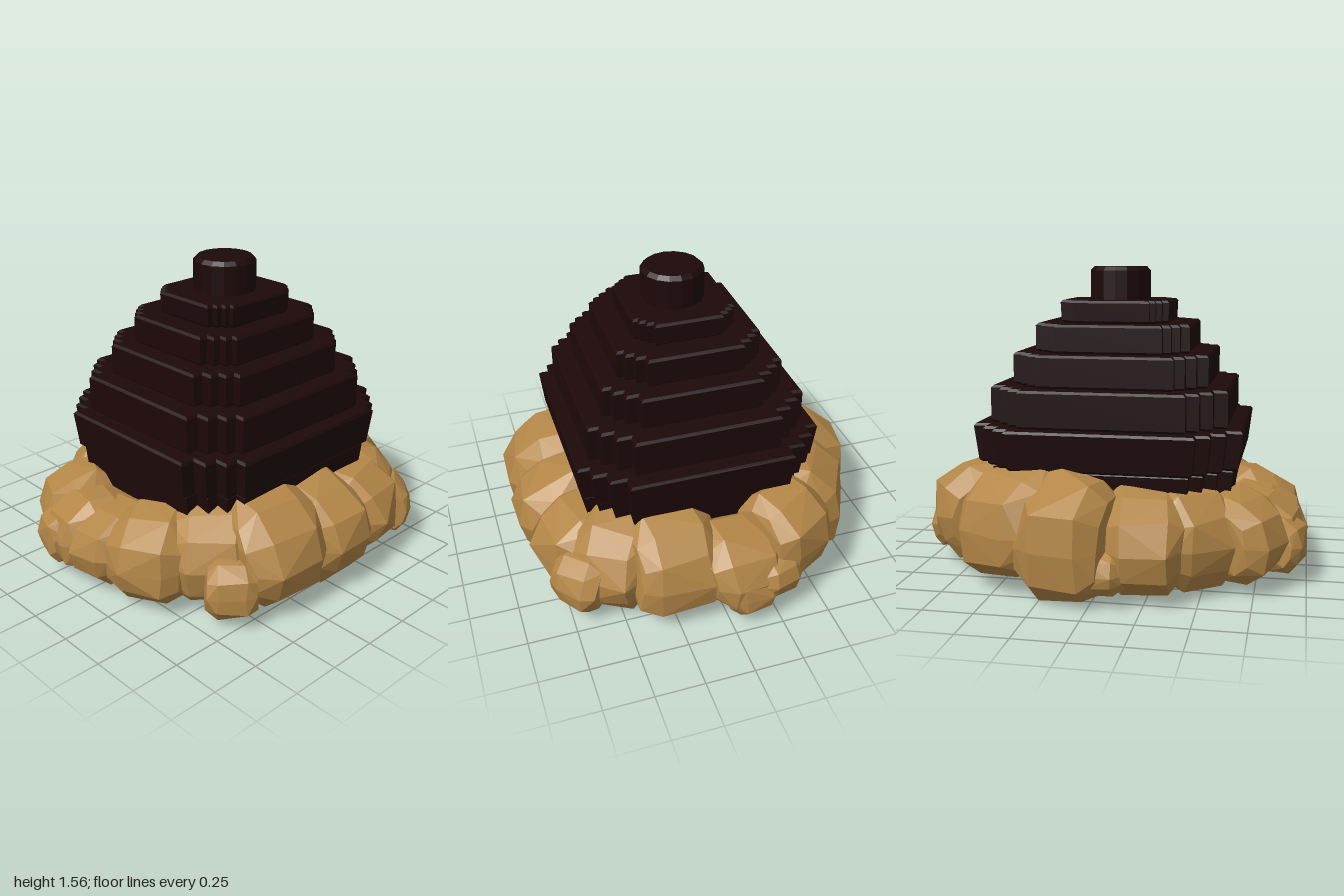
import * as THREE from 'three';
import { ConvexGeometry } from 'three/addons/geometries/ConvexGeometry.js';

// small seeded generator so the boulders are always the same
function seeded(seed) {
  let s = seed * 7919 + 17;
  return () => {
    s = (s * 1664525 + 1013904223) % 4294967296;
    return s / 4294967296;
  };
}

// square outline with three stair steps cut into every corner
function steppedSquare(hx, hz) {
  const corner = [[1, 0.67], [0.89, 0.67], [0.89, 0.8], [0.79, 0.8], [0.79, 0.91], [0.69, 0.91], [0.69, 1]];
  const back = [...corner].reverse();
  const points = [
    ...corner,
    ...back.map(([x, y]) => [-x, y]),
    ...corner.map(([x, y]) => [-x, -y]),
    ...back.map(([x, y]) => [x, -y]),
  ];
  return new THREE.Shape(points.map(([x, y]) => new THREE.Vector2(x * hx, y * hz)));
}

// one bevelled tier between two heights; taper is the width of its foot relative to its top
function tierGeometry(hx, hz, y0, y1, taper = 1) {
  const b = 0.012;
  const geo = new THREE.ExtrudeGeometry(steppedSquare(hx, hz), {
    depth: y1 - y0 - 2 * b,
    bevelEnabled: true,
    bevelThickness: b,
    bevelSize: b,
    bevelOffset: -b,
    bevelSegments: 1,
  });
  geo.rotateX(-Math.PI / 2).translate(0, y0 + b, 0);
  const p = geo.attributes.position;
  for (let i = 0; i < p.count; i++) {
    const k = THREE.MathUtils.lerp(taper, 1, (p.getY(i) - y0) / (y1 - y0));
    p.setX(i, p.getX(i) * k);
    p.setZ(i, p.getZ(i) * k);
  }
  geo.computeVertexNormals();
  return geo;
}

// rough boulder: hull of a sloped profile (depth, height) repeated across its width
const boulderProfile = [[-1.1, -0.35], [-1.05, 0.6], [-0.4, 1.03], [0.25, 0.92], [0.82, 0.5], [1.03, -0.1], [0.92, -0.65], [0.5, -1], [-0.4, -1]];
const boulderSlices = [[-1.05, 0.72], [-0.6, 1], [0.6, 1], [1.05, 0.72]];
function boulderGeometry(depth, height, width, seed) {
  const rnd = seeded(seed);
  const jitter = () => 0.84 + rnd() * 0.2;
  const points = [];
  for (const [t, k] of boulderSlices) {
    for (const [r, y] of boulderProfile) {
      points.push(new THREE.Vector3(t * width * jitter(), y * k * height * jitter(), r * k * depth * jitter()));
    }
  }
  return new ConvexGeometry(points);
}

export function createModel() {
  const model = new THREE.Group();
  model.name = 'steppedTowerInRocks';

  const darkStone = new THREE.MeshStandardMaterial({ color: 0x1d0809, flatShading: true });
  darkStone.name = 'darkStone';
  const sandRock = new THREE.MeshStandardMaterial({ color: 0xb38647, flatShading: true });
  sandRock.name = 'sandRock';

  // stepped tower: half x, half z, bottom, top, taper; it narrows again below the rocks
  const tower = new THREE.Group();
  tower.name = 'tower';
  tower.position.set(0.003, 0, 0.015);
  const tiers = [
    [0.28, 0.26, 0.08, 0.16],
    [0.42, 0.4, 0.15, 0.28],
    [0.54, 0.5, 0.27, 0.41],
    [0.635, 0.595, 0.4, 0.59, 0.97],
    [0.682, 0.63, 0.585, 0.785, 0.965],
    [0.602, 0.557, 0.785, 0.975],
    [0.499, 0.462, 0.975, 1.14],
    [0.397, 0.367, 1.14, 1.285],
    [0.283, 0.262, 1.285, 1.4, 0.98],
  ];
  tiers.forEach((t, i) => {
    const tier = new THREE.Mesh(tierGeometry(...t), darkStone);
    tier.name = `tier${i + 1}`;
    tower.add(tier);
  });

  // round cap with a chamfered rim
  const capProfile = [[0, 1.39], [0.16, 1.39], [0.16, 1.55], [0.14, 1.57], [0, 1.57]];
  const cap = new THREE.Mesh(
    new THREE.LatheGeometry(capProfile.map(([x, y]) => new THREE.Vector2(x, y)), 16),
    darkStone
  );
  cap.name = 'cap';
  tower.add(cap);
  model.add(tower);

  // ring of boulders: x, z, centre height, half depth, half height, half width, heading
  const rocks = new THREE.Group();
  rocks.name = 'rockRing';
  const boulders = [
    [-0.3, 0.65, 0.3, 0.25, 0.27, 0.23, -0.12],
    [0.05, 0.67, 0.28, 0.26, 0.26, 0.19, 0],
    [0.36, 0.62, 0.28, 0.24, 0.23, 0.19, 0.25],
    [0.58, 0.5, 0.29, 0.2, 0.24, 0.19, 1],
    [0.69, 0.23, 0.29, 0.23, 0.26, 0.22, 1.65],
    [0.75, -0.09, 0.27, 0.23, 0.21, 0.19],
    [0.69, -0.36, 0.35, 0.23, 0.25, 0.19],
    [0.43, -0.57, 0.33, 0.23, 0.28, 0.23, 2.6],
    [0.11, -0.68, 0.3, 0.27, 0.3, 0.21, 2.95],
    [-0.23, -0.62, 0.29, 0.23, 0.25, 0.19, -3],
    [-0.45, -0.51, 0.28, 0.19, 0.24, 0.2],
    [-0.68, -0.38, 0.27, 0.21, 0.22, 0.18],
    [-0.76, -0.17, 0.25, 0.23, 0.2, 0.16],
    [-0.75, 0.02, 0.25, 0.24, 0.2, 0.15],
    [-0.71, 0.26, 0.26, 0.24, 0.22, 0.19, -1.05],
    [-0.51, 0.48, 0.29, 0.2, 0.25, 0.21],
    // smaller stones leaning against the ring
    [0.6, 0.68, 0.22, 0.13, 0.16, 0.13],
    [0.88, -0.11, 0.19, 0.12, 0.13, 0.12],
    [0.86, -0.25, 0.24, 0.12, 0.13, 0.11],
    [-0.59, 0.68, 0.2, 0.12, 0.15, 0.12],
    [-0.88, -0.27, 0.22, 0.12, 0.15, 0.11],
    [-0.05, -0.78, 0.18, 0.11, 0.11, 0.11],
  ];
  boulders.forEach(([x, z, y, depth, height, width, heading = Math.atan2(x, z)], i) => {
    const rock = new THREE.Mesh(boulderGeometry(depth, height, width, i + 1), sandRock);
    rock.name = i < 16 ? `boulder${i + 1}` : `smallStone${i - 15}`;
    rock.position.set(x, y, z);
    rock.rotation.y = heading;
    rocks.add(rock);
  });
  model.add(rocks);

  return model;
}
